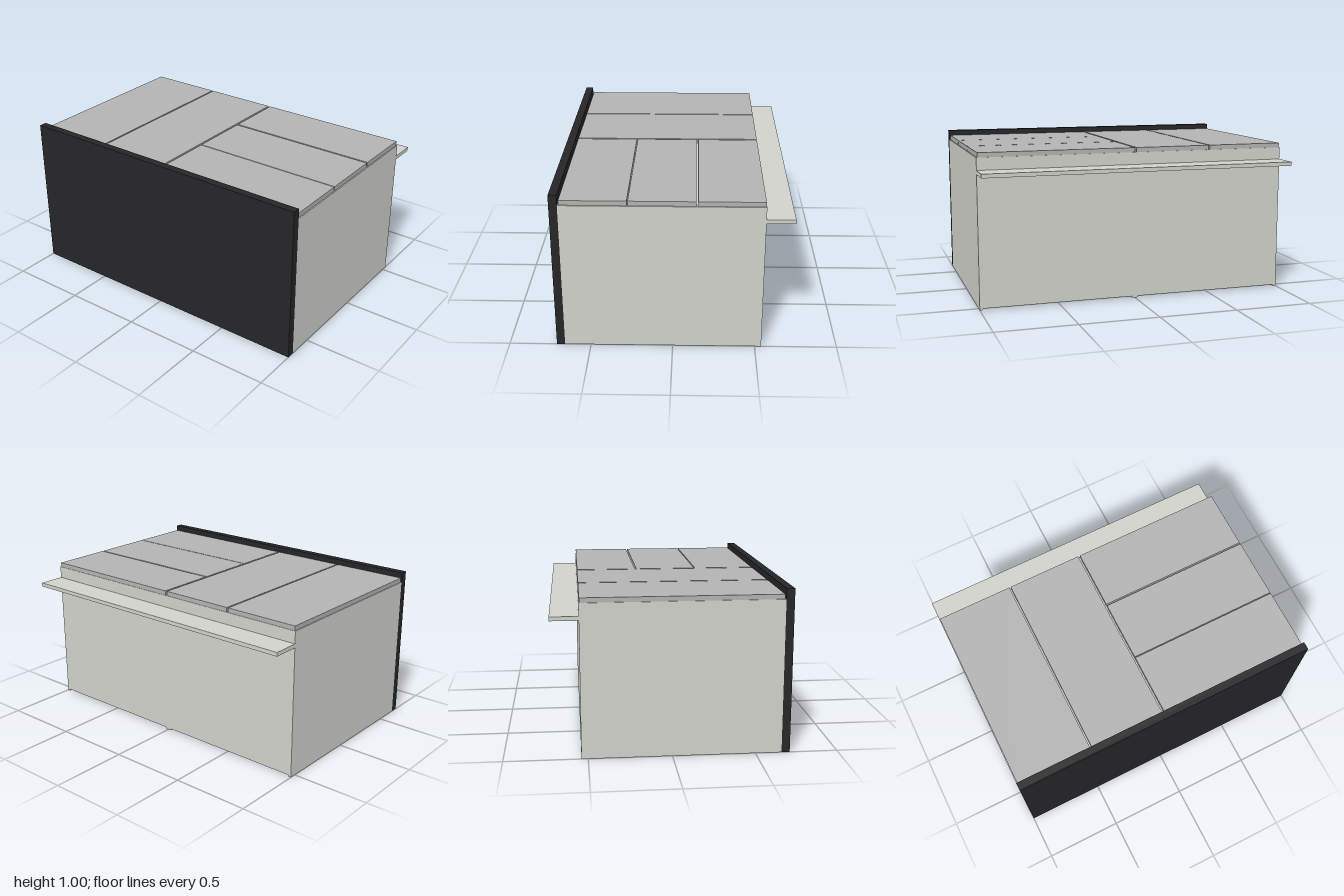
import * as THREE from 'three';

export function createModel() {
  const root = new THREE.Group();
  root.name = 'cabinet';
  const shell = new THREE.MeshStandardMaterial({ color: 0xd2d2cc });
  const grey = new THREE.MeshStandardMaterial({ color: 0xb3b3b3 });
  const dark = new THREE.MeshStandardMaterial({ color: 0x262628 });

  // Box given by its minimum and maximum along each axis
  function slab(name, material, [x0, x1], [y0, y1], [z0, z1], parent = root) {
    const mesh = new THREE.Mesh(new THREE.BoxGeometry(x1 - x0, y1 - y0, z1 - z0), material);
    mesh.position.set((x0 + x1) / 2, (y0 + y1) / 2, (z0 + z1) / 2);
    mesh.name = name;
    parent.add(mesh);
  }

  const back = -0.54, front = 0.66, top = 0.937, board = 0.02, lift = 0.01;

  // Two carcasses side by side; their side boards reach the floor
  for (const [name, x0] of [['rightCarcass', -1], ['leftCarcass', 0]]) {
    const carcass = new THREE.Group();
    carcass.name = name;
    root.add(carcass);
    const x1 = x0 + 1, inner = [x0 + board, x1 - board];
    slab('sideBoard', shell, [x0, x0 + board], [0, top], [back, front], carcass);
    slab('sideBoard', shell, [x1 - board, x1], [0, top], [back, front], carcass);
    slab('backBoard', shell, inner, [lift, top], [back, back + board], carcass);
    slab('topBoard', shell, inner, [top - board, top], [back + board, front], carcass);
    slab('bottomBoard', grey, inner, [lift, lift + board], [back + board, front], carcass);
  }

  // Drawer and door fronts laid on the upper face
  const lid = [top, 0.966], depth = [-0.537, 0.654];
  slab('doorFront', grey, [-0.995, -0.506], lid, depth);
  slab('doorFront', grey, [-0.496, -0.008], lid, depth);
  for (const z of [[-0.537, -0.147], [-0.137, 0.256], [0.262, 0.654]]) {
    slab('drawerFront', grey, [0.005, 0.993], lid, z);
  }

  // Thick dark slab across the front and thin ledge along the back
  slab('frontSlab', dark, [-1, 1], [0, 1], [front, 0.71]);
  slab('backLedge', shell, [-1, 1], [0.835, 0.86], [-0.71, back]);
  return root;
}
